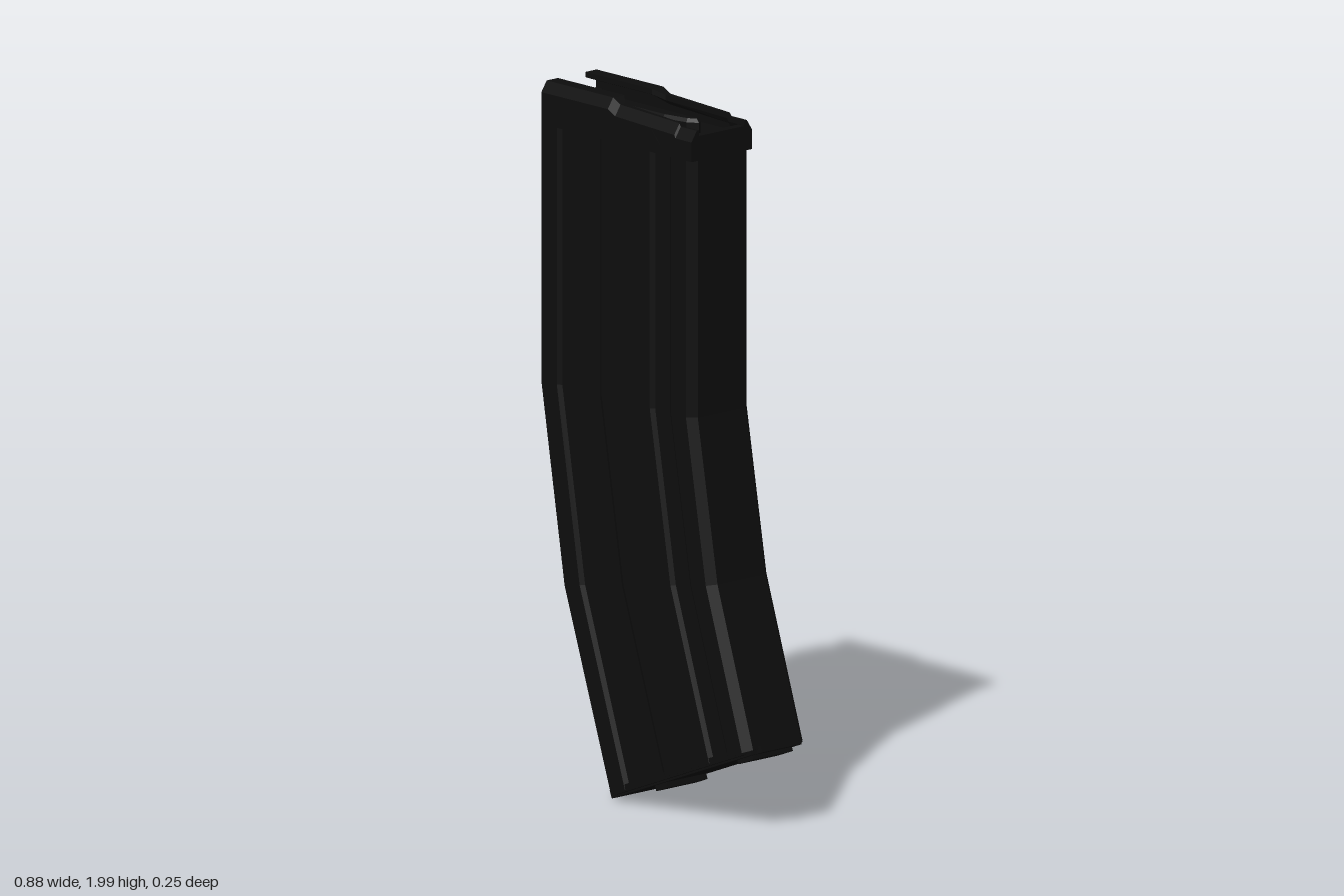
import * as THREE from 'three';

const darkMetal = new THREE.MeshStandardMaterial({ color: 0x0d0d0d });
const ZC = 0.005; // centre of the thickness

// Closed loft through rings of [x, y, z]; flat is the 2D outline used for the caps.
function loft(rings, flat) {
  const n = flat.length, pos = [], idx = [];
  rings.forEach((r) => r.forEach((p) => pos.push(...p)));
  for (let s = 0; s < rings.length - 1; s++) {
    for (let i = 0; i < n; i++) {
      const j = (i + 1) % n, a = s * n + i, b = s * n + j;
      idx.push(a, b, b + n, a, b + n, a + n);
    }
  }
  const outline = flat.map(([x, y]) => new THREE.Vector2(x, y));
  const ccw = !THREE.ShapeUtils.isClockWise(outline);
  const last = (rings.length - 1) * n;
  for (const face of THREE.ShapeUtils.triangulateShape(outline, [])) {
    const [a, b, c] = face;
    const area = (flat[b][0] - flat[a][0]) * (flat[c][1] - flat[a][1])
      - (flat[b][1] - flat[a][1]) * (flat[c][0] - flat[a][0]);
    const [p, q, r] = (area > 0) === ccw ? [a, b, c] : [a, c, b];
    idx.push(p, r, q, last + p, last + q, last + r);
  }
  // Turn the faces outward if the enclosed volume is negative
  const at = (i) => new THREE.Vector3().fromArray(pos, i * 3);
  let volume = 0;
  for (let i = 0; i < idx.length; i += 3) volume += at(idx[i]).dot(at(idx[i + 1]).cross(at(idx[i + 2])));
  if (volume < 0) idx.reverse();
  const g = new THREE.BufferGeometry();
  g.setAttribute('position', new THREE.Float32BufferAttribute(pos, 3));
  g.setIndex(idx);
  const out = g.toNonIndexed();
  out.computeVertexNormals();
  return out;
}

// Rear and front edge of the curved body, from top to bottom
const bend = [
  [[-0.44, 1.15], [0.2, 1.15]],
  [[-0.345, 0.58], [0.28, 0.69]],
  [[-0.155, 0.015], [0.425, 0.245]],
];
const straightTop = (y) => [[-0.44, y], [0.2, y]];

// Outline is [u, z]: u runs from rear edge to front edge
function sweep(outline, stations) {
  const rings = stations.map(([a, b]) => outline.map(([u, z]) => [
    a[0] + (b[0] - a[0]) * u, a[1] + (b[1] - a[1]) * u, z + ZC,
  ]));
  return loft(rings, outline);
}

export function createModel() {
  const model = new THREE.Group();
  const add = (name, geometry, parent = model) => {
    const m = new THREE.Mesh(geometry, darkMetal);
    m.name = name;
    parent.add(m);
    return m;
  };
  const box = (name, x0, x1, y0, y1, z0, z1, parent = model) => {
    const m = add(name, new THREE.BoxGeometry(x1 - x0, y1 - y0, z1 - z0), parent);
    m.position.set((x0 + x1) / 2, (y0 + y1) / 2, (z0 + z1) / 2);
    return m;
  };

  // Curved body with raised and recessed panels running down both sides
  const H = 0.114, R = 0.105;
  const half = [
    [0.047, H], [0.145, H], [0.165, R], [0.405, R], [0.43, H], [0.735, H],
    [0.755, R], [0.85, R], [0.87, H], [0.965, H], [1, 0.09],
  ];
  const outline = [...half, ...half.map(([u, z]) => [u, -z]).reverse()];
  add('body', sweep(outline, [straightTop(1.9), ...bend]));

  // Narrow spine along the rear edge
  const spine = [[0, 0.05], [0.06, 0.05], [0.06, -0.05], [0, -0.05]];
  add('spine', sweep(spine, [straightTop(1.87), ...bend]));
  box('spineTop', -0.425, -0.39, 1.86, 1.95, -0.04, 0.05);

  // Side walls folding inward into lips, high at the rear and low at the front
  const lipStations = [
    [-0.41, 2, 0.052], [-0.14, 2, 0.052], [-0.11, 1.985, 0.075],
    [0.13, 1.975, 0.085], [0.135, 1.966, 0.085], [0.2, 1.966, 0.085],
  ];
  for (const side of [1, -1]) {
    const rings = lipStations.map(([x, top, inner]) => [
      [1.88, 0.114], [top - 0.03, 0.114], [top, 0.094], [top, inner],
      [top - 0.015, inner], [top - 0.03, 0.092], [1.88, 0.092],
    ].map(([y, z]) => [x, y, z * side + ZC]));
    add(side > 0 ? 'leftLip' : 'rightLip', loft(rings, rings[0].map(([, y, z]) => [z, y])));

    // Small pressed mark below the lip
    const mark = new THREE.Shape();
    mark.moveTo(0.005, 1.905);
    mark.lineTo(0.075, 1.905);
    mark.lineTo(0.04, 1.945);
    const m = add('pressedMark', new THREE.ExtrudeGeometry(mark, { depth: 0.004, bevelEnabled: false }));
    m.position.z = side > 0 ? 0.118 : -0.112;
  }
  box('rearWall', -0.41, -0.385, 1.88, 1.95, -0.09, 0.1);
  box('frontWall', 0.175, 0.2, 1.88, 1.95, -0.09, 0.1);

  // Follower with a long pointed ridge
  box('followerPlate', -0.36, 0.16, 1.89, 1.93, -0.08, 0.09);
  const ridge = new THREE.Shape();
  [[-0.36, 0.035], [-0.33, 0.015], [0.13, 0.02], [0.14, 0.035], [0.11, 0.055], [0.03, 0.07], [-0.34, 0.07]]
    .forEach(([x, z], i) => (i ? ridge.lineTo(x, -z) : ridge.moveTo(x, -z)));
  const ridgeMesh = add('followerRidge', new THREE.ExtrudeGeometry(ridge, {
    depth: 0.035, bevelThickness: 0.01, bevelSize: 0.008, bevelOffset: -0.008, bevelSegments: 1,
  }));
  ridgeMesh.rotation.x = -Math.PI / 2;
  ridgeMesh.position.y = 1.932;

  // Filled panel and catch on the back side
  box('catchPanel', -0.345, -0.17, 1.71, 1.9, -0.109, -0.09);
  const catchRing = (grow, z) => [
    [-0.28, 1.56], [-0.225, 1.56], [-0.21, 1.58], [-0.21, 1.66], [-0.295, 1.66], [-0.295, 1.58],
  ].map(([x, y]) => [-0.2525 + (x + 0.2525) * grow, 1.61 + (y - 1.61) * grow, z]);
  const catchBase = catchRing(1, -0.095);
  add('catchBump', loft([catchBase, catchRing(1, -0.11), catchRing(0.75, -0.125)],
    catchBase.map(([x, y]) => [x, y])));

  // Floor plate following the slope of the bottom edge
  const floor = new THREE.Group();
  floor.name = 'floorPlate';
  floor.position.set(0.135, 0.13, ZC);
  floor.rotation.z = Math.atan2(0.23, 0.58);
  model.add(floor);
  box('plate', -0.305, 0.305, -0.012, 0.012, -0.095, 0.095, floor);
  box('frontTab', 0.28, 0.323, -0.012, 0.008, -0.07, 0.07, floor);
  box('rearLug', -0.14, -0.09, -0.028, 0, -0.075, 0.075, floor);
  box('frontLug', 0.22, 0.285, -0.024, 0, -0.075, 0.075, floor);
  for (const z of [-0.104, 0.104]) box('sideRail', -0.27, 0.29, -0.006, 0.014, z - 0.009, z + 0.009, floor);

  return model;
}
